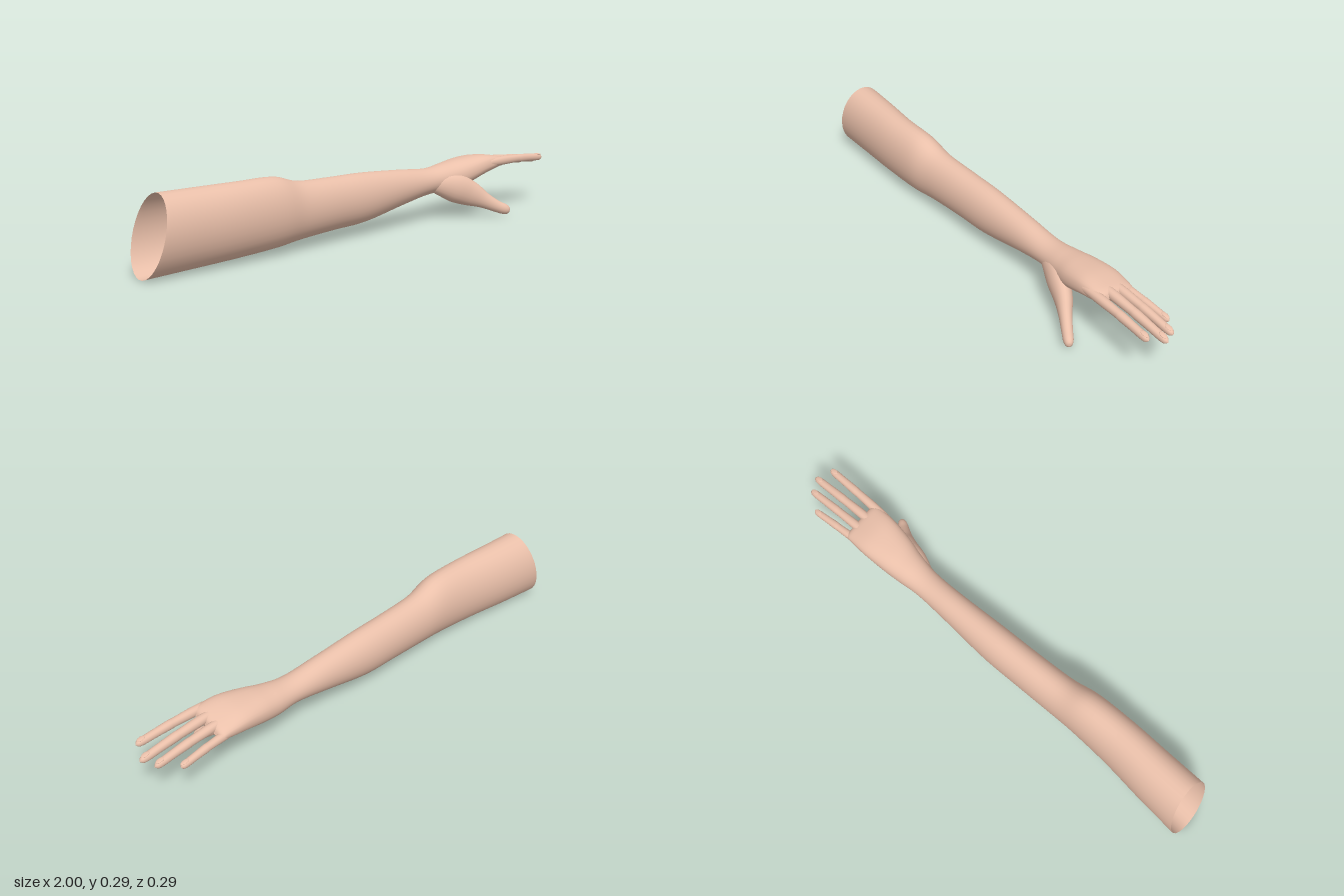
import * as THREE from 'three';

const skin = new THREE.MeshStandardMaterial({ color: 0xeac0aa, side: THREE.DoubleSide });

// Smooth interpolation through rows of numbers
function sampleRows(rows, t) {
  const f = t * (rows.length - 1);
  const i = Math.min(Math.floor(f), rows.length - 2);
  const u = f - i;
  const at = k => rows[Math.max(0, Math.min(rows.length - 1, k))];
  const [p, q, r, s] = [at(i - 1), at(i), at(i + 1), at(i + 2)];
  return q.map((_, k) => 0.5 * (2 * q[k] + (r[k] - p[k]) * u
    + (2 * p[k] - 5 * q[k] + 4 * r[k] - s[k]) * u * u
    + (3 * q[k] - p[k] - 3 * r[k] + s[k]) * u * u * u));
}

// Loft of oval sections: [x, y, z, halfHeight, halfWidth, roll, squareness]
function loft(name, rows, rings, sides, fixedAxis, warp) {
  const full = rows.map(r => [r[0], r[1], r[2], r[3], r[4], r[5] ?? 0, r[6] ?? 1]);
  const pos = [], index = [];
  const centre = t => new THREE.Vector3(...sampleRows(full, t).slice(0, 3));
  const bend = (v, e) => Math.sign(v) * Math.pow(Math.abs(v), e);
  for (let i = 0; i <= rings; i++) {
    const t = i / rings;
    const [, , , a, b, roll, e] = sampleRows(full, t);
    const axis = fixedAxis ?? centre(Math.min(1, t + 0.01)).sub(centre(Math.max(0, t - 0.01))).normalize();
    const up = new THREE.Vector3(0, 1, 0).addScaledVector(axis, -axis.y).normalize().applyAxisAngle(axis, roll);
    const side = axis.clone().cross(up);
    for (let j = 0; j < sides; j++) {
      const w = j / sides * Math.PI * 2;
      const p = centre(t)
        .addScaledVector(up, Math.max(a, 0.0005) * bend(Math.cos(w), e))
        .addScaledVector(side, Math.max(b, 0.0005) * bend(Math.sin(w), e));
      if (warp) warp(p);
      pos.push(p.x, p.y, p.z);
      if (i < rings) {
        const n = (j + 1) % sides, o = i * sides, q = o + sides;
        index.push(o + j, o + n, q + j, o + n, q + n, q + j);
      }
    }
  }
  const geo = new THREE.BufferGeometry();
  geo.setAttribute('position', new THREE.Float32BufferAttribute(pos, 3));
  geo.setIndex(index);
  geo.computeVertexNormals();
  const mesh = new THREE.Mesh(geo, skin);
  mesh.name = name;
  return mesh;
}

export function createModel() {
  const group = new THREE.Group();
  group.name = 'arm';

  // Upper arm, forearm, wrist and palm; the open shoulder end is cut at a slant
  const slant = p => {
    const fade = THREE.MathUtils.clamp((-0.4 - p.x) / 0.5, 0, 1);
    p.x += (p.y - 0.152) * 0.235 * fade;
  };
  group.add(loft('armAndPalm', [
    [-0.965, 0.152, -0.052, 0.148, 0.1, 0.1],
    [-0.8, 0.155, -0.043, 0.144, 0.095, 0.08],
    [-0.62, 0.159, -0.031, 0.139, 0.088, 0.05],
    [-0.45, 0.162, -0.029, 0.132, 0.083],
    [-0.33, 0.151, -0.036, 0.111, 0.075],
    [-0.16, 0.151, -0.042, 0.103, 0.072],
    [0, 0.152, -0.045, 0.098, 0.07],
    [0.2, 0.163, -0.045, 0.073, 0.06],
    [0.35, 0.169, -0.043, 0.054, 0.057],
    [0.45, 0.174, -0.04, 0.06, 0.069, -0.05, 0.95],
    [0.53, 0.188, -0.035, 0.058, 0.082, -0.1, 0.88],
    [0.62, 0.205, -0.032, 0.046, 0.09, -0.16, 0.8],
    [0.69, 0.208, -0.03, 0.032, 0.088, -0.2, 0.75],
    [0.72, 0.206, -0.03, 0.021, 0.083, -0.2, 0.75],
    [0.73, 0.205, -0.03, 0, 0.06, -0.2, 0.75],
  ], 84, 32, new THREE.Vector3(1, 0, 0), slant));

  // Thumb with its broad web running into the wrist
  group.add(loft('thumb', [
    [0.37, 0.16, -0.015, 0.035, 0.025],
    [0.46, 0.137, 0.012, 0.06, 0.04],
    [0.53, 0.105, 0.042, 0.052, 0.034],
    [0.58, 0.075, 0.073, 0.034, 0.025],
    [0.625, 0.048, 0.102, 0.025, 0.021],
    [0.655, 0.034, 0.121, 0.022, 0.019],
    [0.67, 0.027, 0.13, 0.014, 0.012],
    [0.675, 0.025, 0.133, 0, 0],
  ], 42, 20));

  // Fingers: base and tip of each, with a slight bend at the middle joint
  const fingers = {
    indexFinger: [[0.64, 0.222, 0.042], [0.97, 0.211, 0.053], 0.0165],
    middleFinger: [[0.64, 0.225, -0.008], [1, 0.192, -0.008], 0.017],
    ringFinger: [[0.64, 0.215, -0.056], [0.975, 0.184, -0.058], 0.0165],
    littleFinger: [[0.64, 0.19, -0.095], [0.905, 0.171, -0.109], 0.015],
  };
  for (const [name, [from, to, r]] of Object.entries(fingers)) {
    const base = new THREE.Vector3(...from), tip = new THREE.Vector3(...to);
    const rows = [[0, 1], [0.25, 1.12], [0.5, 1], [0.58, 1.04], [0.75, 0.95], [0.9, 0.9], [0.97, 0.68], [1, 0]]
      .map(([t, s]) => {
        const p = base.clone().lerp(tip, t);
        return [p.x, p.y + 0.006 * Math.sin(Math.PI * t), p.z, r * s, r * s * 0.96, 0, 0.9];
      });
    group.add(loft(name, rows, 35, 16));

    // Fingernail
    const nail = new THREE.Mesh(new THREE.SphereGeometry(1, 16, 10), skin);
    nail.name = name + 'Nail';
    nail.scale.set(0.018, 0.003, r * 0.62);
    nail.position.copy(base).lerp(tip, 0.93);
    nail.position.y += r * 0.82 + 0.001;
    nail.rotation.z = Math.atan2(tip.y - base.y, tip.x - base.x) - 0.12;
    group.add(nail);
  }
  return group;
}
